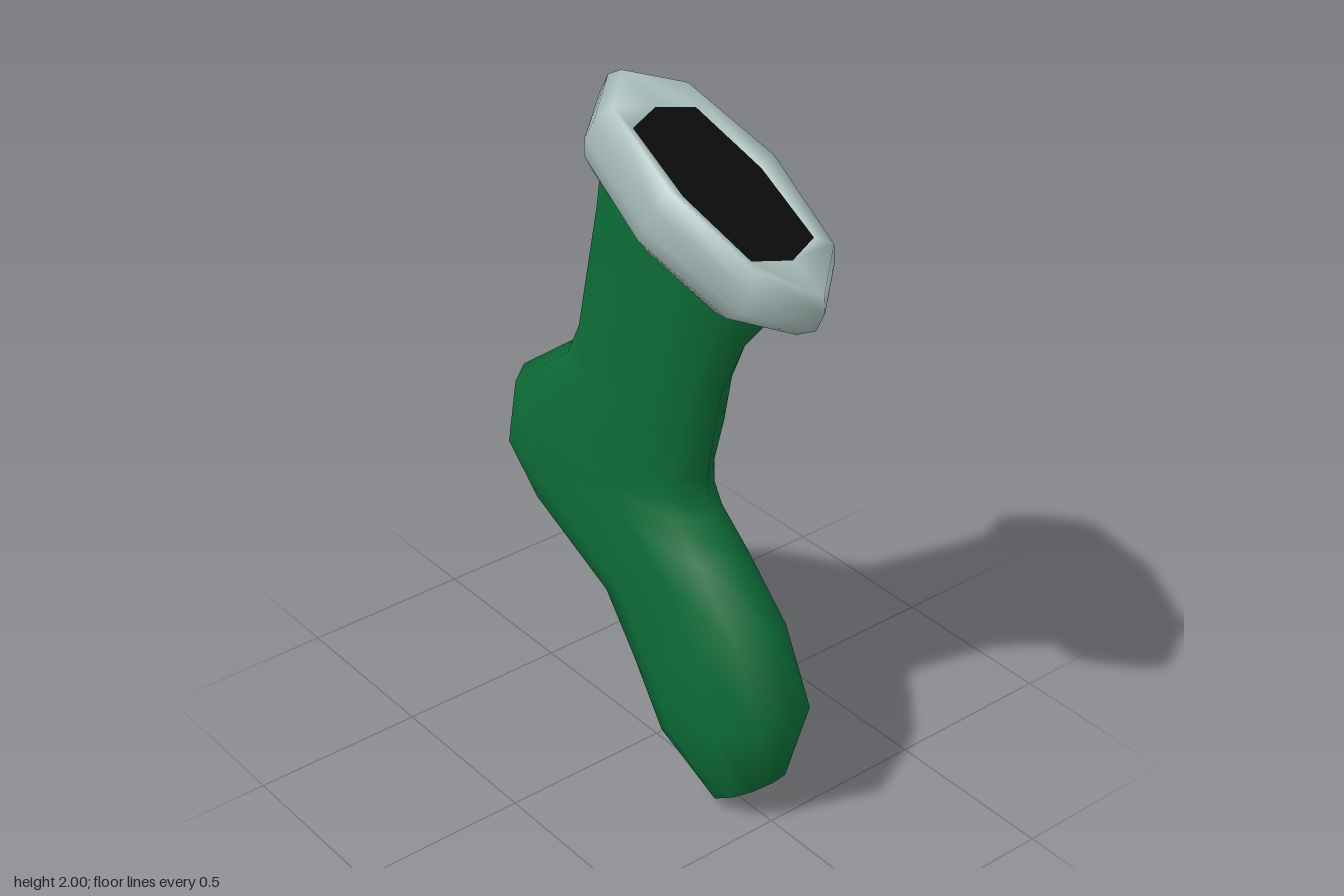
import * as THREE from 'three';

const green = new THREE.MeshStandardMaterial({ color: 0x0d6b37 });
green.name = 'green knit';
const fur = new THREE.MeshStandardMaterial({ color: 0xa4b9b6 });
fur.name = 'pale grey fur';
const black = new THREE.MeshStandardMaterial({ color: 0x0a0a0a });
black.name = 'black opening';

// Cross-section outlines: [fraction from heel side to toe side, share of half depth]
const legOutline = [[0, 0], [0.08, 0.62], [0.3, 0.95], [0.7, 0.95], [0.92, 0.62], [1, 0]];
const cuffOutline = [[0, 0], [0.14, 0.73], [0.5, 1], [0.86, 0.73], [1, 0]];
const holeOutline = [[0, 0], [0.07, 0.8], [0.5, 1], [0.93, 0.8], [1, 0]];

// Closed ring from a heel-side point, a toe-side point, a half depth and an upward bulge
function ring([x0, y0, x1, y1, depth, bulge = 0], outline) {
  const point = ([t, w], side) => [
    x0 + (x1 - x0) * t + bulge * 0.38 * w,
    y0 + (y1 - y0) * t + bulge * 0.92 * w,
    side * w * depth,
  ];
  const front = outline.map((o) => point(o, 1));
  const back = outline.slice(1, -1).reverse().map((o) => point(o, -1));
  return [...front, ...back];
}

// Skin over rings listed from top to bottom, with optional end caps
function loft(name, rings, material, { capTop = false, capBottom = false } = {}) {
  const n = rings[0].length;
  const index = [];
  for (let i = 0; i < rings.length - 1; i++) {
    for (let j = 0; j < n; j++) {
      const a = i * n + j, b = i * n + ((j + 1) % n);
      index.push(a, a + n, b + n, a, b + n, b);
    }
  }
  const last = (rings.length - 1) * n;
  for (let j = 1; j < n - 1; j++) {
    if (capTop) index.push(0, j, j + 1);
    if (capBottom) index.push(last, last + j + 1, last + j);
  }
  const geometry = new THREE.BufferGeometry();
  geometry.setAttribute('position', new THREE.Float32BufferAttribute(rings.flat(2), 3));
  geometry.setIndex(index);
  geometry.computeVertexNormals();
  const mesh = new THREE.Mesh(geometry, material);
  mesh.name = name;
  return mesh;
}

export function createModel() {
  const model = new THREE.Group();
  model.name = 'stocking';

  // Leg, heel and foot, from under the cuff to the toe
  const legSections = [
    [-0.19, 1.79, 0.45, 1.54, 0.11],
    [-0.205, 1.65, 0.35, 1.42, 0.11],
    [-0.285, 1.25, 0.265, 1.25, 0.115],
    [-0.335, 1.15, 0.235, 1.1, 0.12],
    [-0.595, 0.95, 0.212, 0.96, 0.125],
    [-0.64, 0.72, 0.218, 0.91, 0.125],
    [-0.5, 0.59, 0.24, 0.86, 0.125],
    [-0.16, 0.44, 0.32, 0.775, 0.13],
    [-0.03, 0.285, 0.48, 0.61, 0.14],
    [0.1, 0.12, 0.575, 0.385, 0.15],
    [0.31, 0.0, 0.5, 0.13, 0.095],
  ];
  model.add(loft('legAndFoot', legSections.map((s) => ring(s, legOutline)), green, { capBottom: true }));

  // Rounded fur cuff, from the inner lip over the rim to the underside
  const hole = [-0.005, 1.945, 0.52, 1.73, 0.125];
  const cuffSections = [
    [-0.14, 2.0, 0.635, 1.68, 0.165, 0.025],
    [-0.195, 1.97, 0.64, 1.635, 0.185],
    [-0.23, 1.91, 0.61, 1.575, 0.192],
    [-0.237, 1.85, 0.54, 1.535, 0.18],
    [-0.2, 1.755, 0.435, 1.51, 0.125],
  ];
  model.add(loft('cuff', [ring(hole, holeOutline), ...cuffSections.map((s) => ring(s, cuffOutline))],
    fur, { capBottom: true }));

  // Dark opening inside the cuff
  model.add(loft('opening', [ring(hole, holeOutline)], black, { capTop: true }));

  return model;
}
